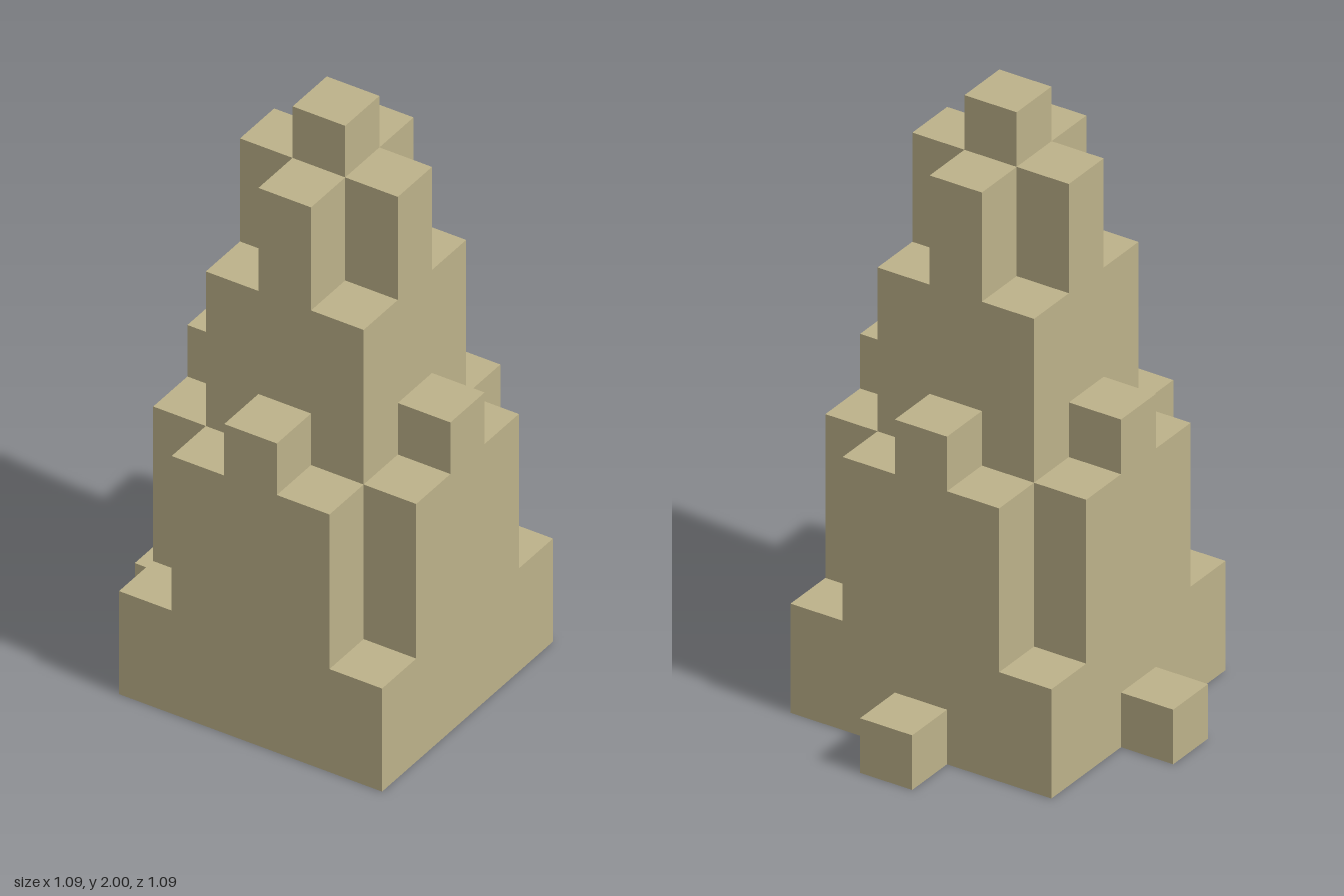
import * as THREE from 'three';

const U = 2 / 11;   // one block
const C = U / 2;    // the tower axis sits half a block off the origin in x and z

export function createModel() {
  const group = new THREE.Group();
  group.name = 'steppedTower';
  const stone = new THREE.MeshStandardMaterial({ color: 0xbdb28a });
  stone.name = 'sandstone';

  const add = (name, geometry, x, y, z) => {
    const mesh = new THREE.Mesh(geometry, stone);
    mesh.name = name;
    mesh.position.set(C + x * U, y * U, C + z * U);
    group.add(mesh);
  };

  // Square block of the given width, from height y0 to y1 (in blocks)
  const block = (name, width, y0, y1, x = 0, z = 0) =>
    add(name, new THREE.BoxGeometry(width * U, (y1 - y0) * U, width * U), x, (y0 + y1) / 2, z);

  // Cross-shaped tier: a = reach of the arms, b = half width of the arms
  const cross = (name, a, b, y0, y1) => {
    const points = [
      [b, a], [b, b], [a, b], [a, -b], [b, -b], [b, -a],
      [-b, -a], [-b, -b], [-a, -b], [-a, b], [-b, b], [-b, a],
    ].map(([x, z]) => new THREE.Vector2(x * U, z * U));
    const geometry = new THREE.ExtrudeGeometry(new THREE.Shape(points), {
      depth: (y1 - y0) * U, bevelEnabled: false,
    });
    geometry.rotateX(-Math.PI / 2);
    add(name, geometry, 0, y0, 0);
  };

  // Tiers from the ground up
  block('base', 5, 0, 2);
  cross('lowerTier', 2.5, 1.5, 2, 5);
  block('middleTier', 3, 5, 8);
  cross('upperTier', 1.5, 0.5, 8, 10);
  block('peak', 1, 10, 11);

  // Raised block in the middle of each side of the lower tier
  for (const [x, z] of [[2, 0], [-2, 0], [0, 2], [0, -2]]) {
    block('sideBattlement', 1, 5, 6, x, z);
  }

  // Single blocks at the foot of the right and back sides
  block('rightFootBlock', 1, 0, 1, -3, 0);
  block('backFootBlock', 1, 0, 1, 0, -3);

  return group;
}
